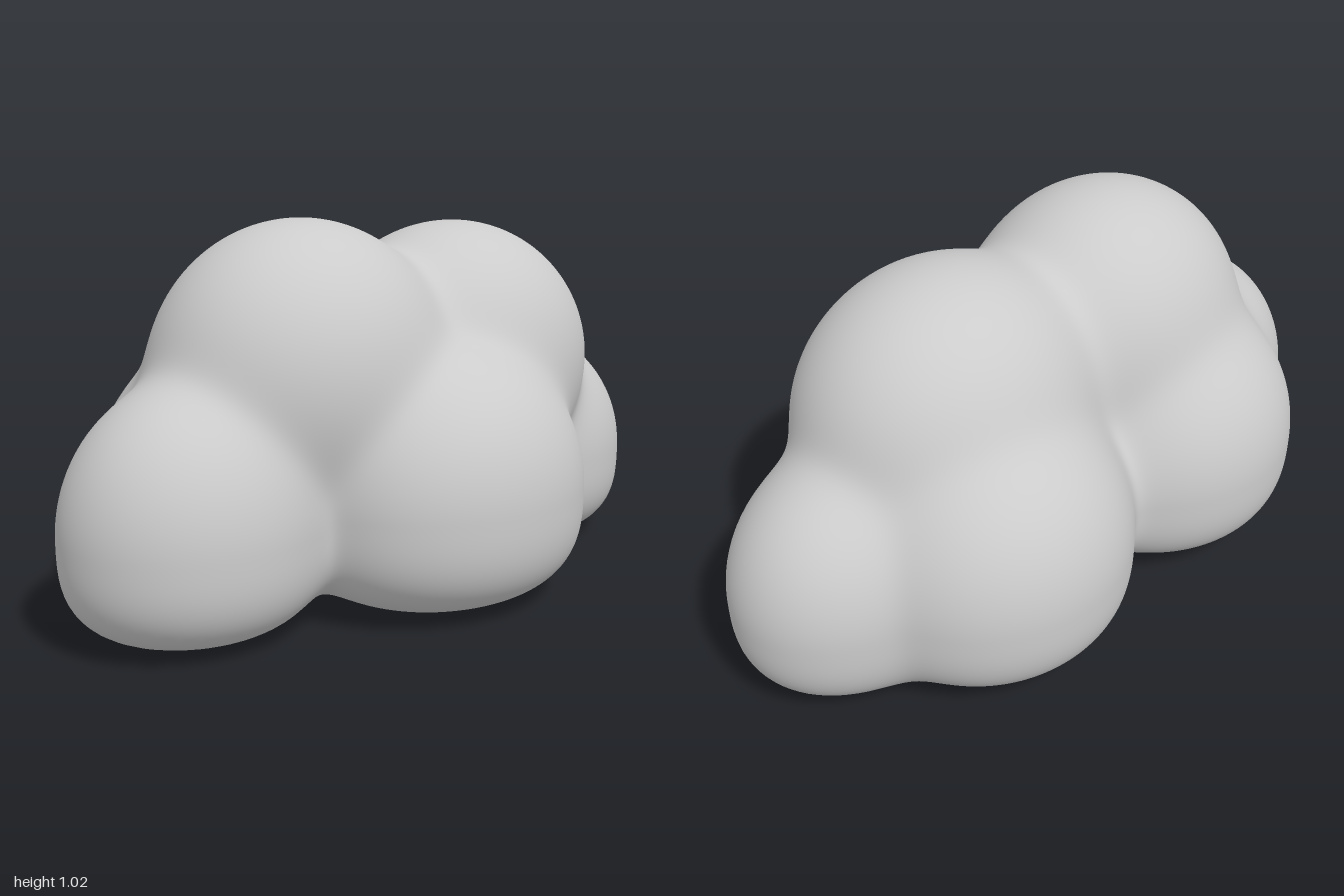
import * as THREE from 'three';
import { mergeVertices } from 'three/addons/utils/BufferGeometryUtils.js';

// Puffs: centre [x, y, z], radii [x, up, z], depth below the centre, and power of the lower half (3 = flattened base)
const PUFFS = [
  { c: [0.65, 0.27, -0.02], r: [0.35, 0.36, 0.29], low: 0.265, p: 3 },   // left side
  { c: [-0.65, 0.27, -0.03], r: [0.35, 0.38, 0.31], low: 0.265, p: 3 },  // right side
  { c: [0, 0.3, 0.22], r: [0.43, 0.4, 0.36], low: 0.295, p: 3 },         // front
  { c: [0.36, 0.3, -0.22], r: [0.4, 0.41, 0.37], low: 0.285, p: 3 },     // back left
  { c: [-0.34, 0.3, -0.22], r: [0.4, 0.41, 0.37], low: 0.285, p: 3 },    // back right
  { c: [0.29, 0.6, 0], r: [0.43, 0.395, 0.37], low: 0.4, p: 2 },         // top left
  { c: [-0.28, 0.62, -0.03], r: [0.42, 0.405, 0.37], low: 0.4, p: 2 },   // top right
];
const BLEND = 0.032;

// Soft union of the puffs: negative inside, positive outside
function field(x, y, z) {
  let sum = 0;
  for (const { c, r, low, p } of PUFFS) {
    const h = Math.hypot((x - c[0]) / r[0], (z - c[2]) / r[2]);
    const dy = y - c[1];
    const e = dy < 0 ? p : 2;
    const v = Math.abs(dy) / (dy < 0 ? low : r[1]);
    const d = (Math.pow(h ** e + v ** e, 1 / e) - 1) * 0.37;
    sum += Math.exp(-d / BLEND);
  }
  return Math.max(-BLEND * Math.log(sum), -y);
}

// Shrink-wrap a fine ball onto the blended puffs, along rays from the middle
function cloudGeometry() {
  let geo = new THREE.IcosahedronGeometry(1, 50);
  geo.deleteAttribute('normal');
  geo.deleteAttribute('uv');
  geo = mergeVertices(geo, 1e-5);
  const pos = geo.attributes.position;
  const dir = new THREE.Vector3();
  const middle = 0.32;
  for (let i = 0; i < pos.count; i++) {
    dir.fromBufferAttribute(pos, i).normalize();
    const at = (t) => field(dir.x * t, middle + dir.y * t, dir.z * t);
    let inner = 1.2;
    while (inner > 0.02 && at(inner) > 0) inner -= 0.02;
    let outer = inner + 0.02;
    for (let k = 0; k < 14; k++) {
      const mid = (inner + outer) / 2;
      if (at(mid) > 0) outer = mid;
      else inner = mid;
    }
    pos.setXYZ(i, dir.x * inner, middle + dir.y * inner, dir.z * inner);
  }
  geo.computeVertexNormals();
  return geo;
}

export function createModel() {
  const group = new THREE.Group();
  group.name = 'cloud';
  const cloud = new THREE.Mesh(cloudGeometry(), new THREE.MeshStandardMaterial({ color: 0xcccccc }));
  cloud.name = 'cloudPuffs';
  group.add(cloud);
  return group;
}
